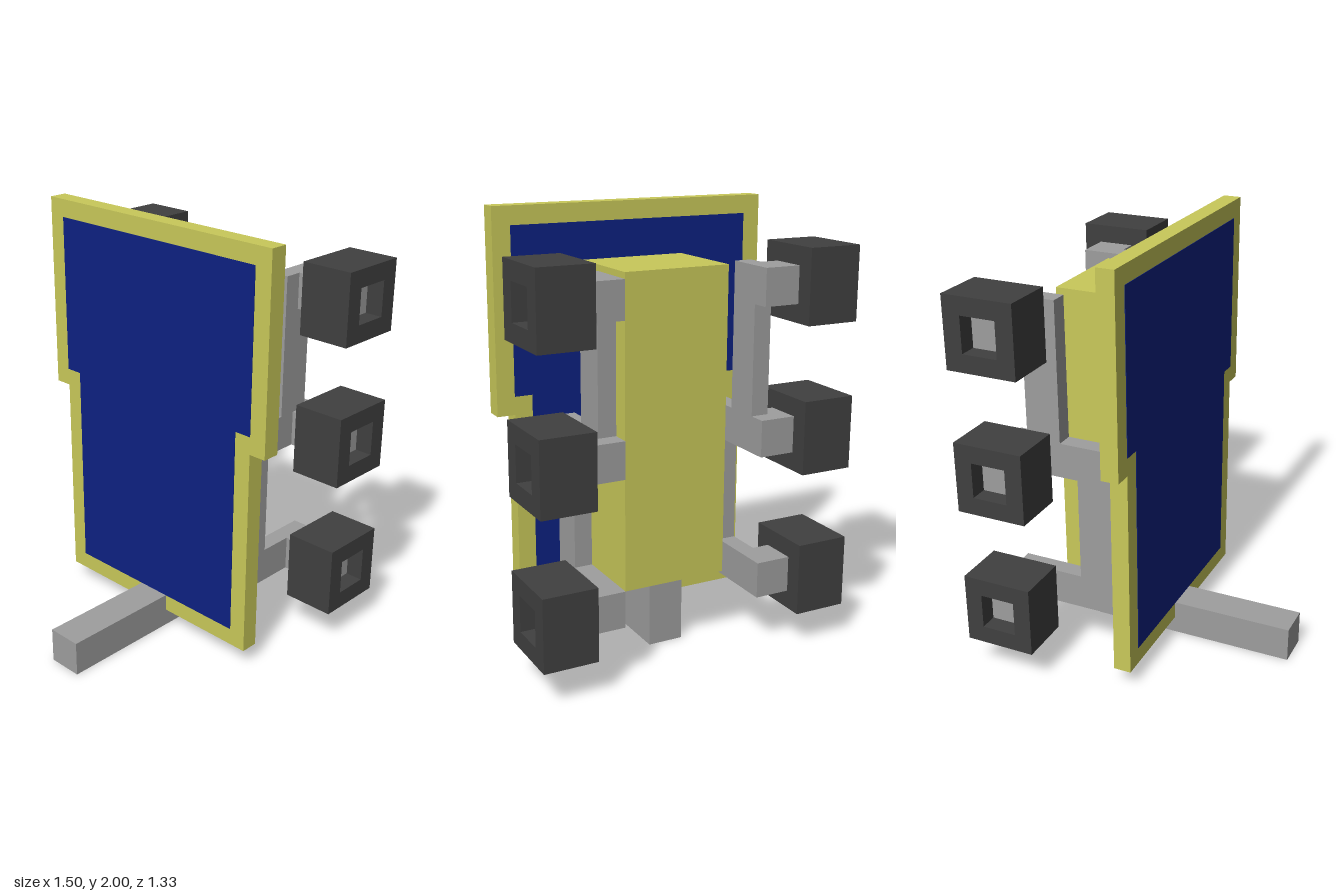
import * as THREE from 'three';

const U = 1 / 12; // the model sits on a grid of twelfths

const mat = (name, color) => {
  const m = new THREE.MeshStandardMaterial({ color });
  m.name = name;
  return m;
};

// Extrudes a shape given in grid units
function extrude(points, depth, hole) {
  const toV = ([a, b]) => new THREE.Vector2(a * U, b * U);
  const shape = new THREE.Shape(points.map(toV));
  if (hole) shape.holes.push(new THREE.Path(hole.map(toV)));
  return new THREE.ExtrudeGeometry(shape, { depth: depth * U, bevelEnabled: false });
}

const square = (h) => [[-h, -h], [h, -h], [h, h], [-h, h]];

// Stepped panel outline: wide upper half, narrower lower half
const steppedOutline = (wide, narrow, bottom, step, top) => [
  [-narrow, bottom], [narrow, bottom], [narrow, step], [wide, step],
  [wide, top], [-wide, top], [-wide, step], [-narrow, step],
];

export function createModel() {
  const model = new THREE.Group();
  model.name = 'sixWheeledRover';
  const yellow = mat('yellow body', 0xc9c95a);
  const blue = mat('blue panel', 0x0d2182);
  const grey = mat('grey metal', 0x9e9e9e);
  const dark = mat('dark tyre', 0x404040);

  const add = (parent, name, geometry, material) => {
    const mesh = new THREE.Mesh(geometry, material);
    mesh.name = name;
    parent.add(mesh);
    return mesh;
  };
  // Box between two corners in grid units
  const box = (parent, name, material, x0, x1, y0, y1, z0, z1) => {
    const g = new THREE.BoxGeometry((x1 - x0) * U, (y1 - y0) * U, (z1 - z0) * U);
    g.translate((x0 + x1) * U / 2, (y0 + y1) * U / 2, (z0 + z1) * U / 2);
    return add(parent, name, g, material);
  };

  // Panel with a yellow rim, blue on both faces
  add(model, 'panelFrame', extrude(steppedOutline(8, 7, 1, 13, 24), 1), yellow);
  const cells = steppedOutline(7, 6, 2, 14, 23);
  add(model, 'frontCells', extrude(cells, 0.03), blue).position.z = U;
  add(model, 'backCells', extrude(cells, 0.03), blue).position.z = -0.03 * U;

  // Body behind the panel
  box(model, 'body', yellow, -3, 3, 4, 21, -5, 0);

  // L-shaped boom under the body, reaching forward
  const boom = extrude([[-8, 0], [4, 0], [4, 4], [0, 4], [0, 2], [-8, 2]], 2);
  boom.translate(0, 0, -U);
  boom.rotateY(Math.PI / 2); // profile x becomes -z
  add(model, 'boom', boom, grey);

  for (const side of [1, -1]) {
    const half = new THREE.Group();
    half.name = side > 0 ? 'leftSuspension' : 'rightSuspension';
    model.add(half);
    const span = (a, b) => (side > 0 ? [a, b] : [-b, -a]);

    // C-shaped links, profile drawn as (depth behind the panel, height)
    const link = (name, front, y0, y1) => {
      const g = extrude([
        [front, y0], [7, y0], [7, y0 + 2], [front + 2, y0 + 2],
        [front + 2, y1 - 2], [7, y1 - 2], [7, y1], [front, y1],
      ], 1);
      g.rotateY(Math.PI / 2);
      g.translate((side > 0 ? 4 : -5) * U, 0, 0);
      add(half, name, g, grey);
    };
    link('upperLink', 4, 11, 21);
    link('lowerLink', 1, 3, 13);

    // Cube wheels with a recessed square hub
    for (const y of [4, 12, 20]) {
      const tyre = extrude(square(2), 3, square(1));
      tyre.rotateY(Math.PI / 2);
      tyre.translate((side > 0 ? 6 : -9) * U, y * U, -6 * U);
      add(half, 'wheel', tyre, dark);
      box(half, 'axle', grey, ...span(5, 8), y - 1, y + 1, -7, -5);
    }
  }
  return model;
}
